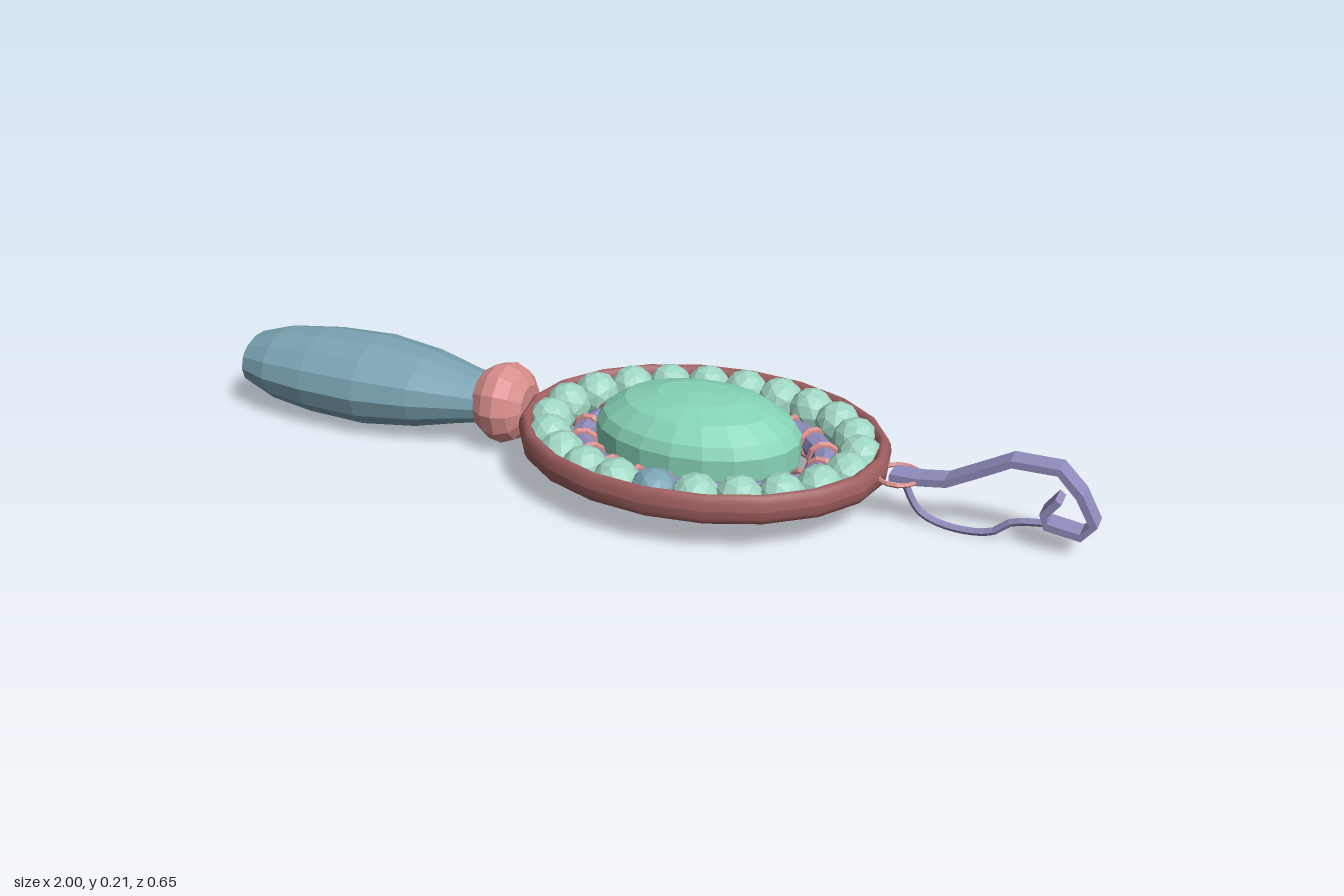
import * as THREE from 'three';

const MID = 0.105; // height of the pendant's middle plane
const CX = 0.15; // centre of the oval setting

const mat = (color, flatShading = true) => new THREE.MeshStandardMaterial({ color, flatShading });
const teal = mat(0x7aa3b2), salmon = mat(0xd98f8b), rimRed = mat(0xa05f60, false);
const mint = mat(0xa0d6c4), green = mat(0x86d4b6), purple = mat(0x918dbd);

function add(parent, name, geometry, material, x = 0, y = 0, z = 0) {
  const mesh = new THREE.Mesh(geometry, material);
  mesh.name = name;
  mesh.position.set(x, y, z);
  parent.add(mesh);
  return mesh;
}

const v2 = (pts) => pts.map(([a, b]) => new THREE.Vector2(a, b));

// Body turned around the x axis from [x, radius] pairs, stretched in z
function turnedAlongX(profile, sides, zScale) {
  const g = new THREE.LatheGeometry(v2(profile.map(([x, r]) => [r, x])), sides);
  return g.rotateZ(-Math.PI / 2).scale(1, 1, zScale);
}

// Closed oval in the horizontal plane
function oval(rx, rz, n = 40) {
  const pts = new THREE.EllipseCurve(0, 0, rx, rz).getSpacedPoints(n).slice(0, n);
  return new THREE.CatmullRomCurve3(pts.map((p) => new THREE.Vector3(p.x, 0, p.y)), true);
}

// Flat strip following a path in the xy plane
function strip(pts, thickness, width) {
  const p = v2(pts);
  const left = [], right = [];
  p.forEach((q, i) => {
    const a = p[Math.max(i - 1, 0)], b = p[Math.min(i + 1, p.length - 1)];
    const d = b.clone().sub(a).normalize().multiplyScalar(thickness / 2);
    left.push(new THREE.Vector2(q.x - d.y, q.y + d.x));
    right.unshift(new THREE.Vector2(q.x + d.y, q.y - d.x));
  });
  const g = new THREE.ExtrudeGeometry(new THREE.Shape([...left, ...right]), { depth: width, bevelEnabled: false });
  return g.translate(0, 0, -width / 2);
}

export function createModel() {
  const model = new THREE.Group();
  model.name = 'earring';

  // Long drop and the collar bead joining it to the setting
  add(model, 'drop', turnedAlongX([
    [-1, 0], [-1, 0.03], [-0.975, 0.06], [-0.9, 0.083], [-0.79, 0.096], [-0.65, 0.1],
    [-0.52, 0.085], [-0.42, 0.062], [-0.36, 0.05], [-0.36, 0],
  ], 14, 1.34), teal, 0, MID);
  add(model, 'collarBead', turnedAlongX([
    [-0.375, 0], [-0.375, 0.067], [-0.345, 0.087], [-0.315, 0.092], [-0.285, 0.08], [-0.262, 0.05], [-0.262, 0],
  ], 12, 1), salmon, 0, MID);

  const setting = new THREE.Group();
  setting.name = 'setting';
  setting.position.set(CX, MID, 0);
  model.add(setting);

  // Outer rim: rounded band swept round the oval
  const section = [];
  for (let i = 0; i <= 12; i++) {
    const a = (i / 12) * Math.PI * 2;
    section.push([0.958 + 0.042 * Math.cos(a), 0.033 * Math.sin(a)]);
  }
  add(setting, 'rim', new THREE.LatheGeometry(v2(section), 20).scale(0.41, 1, 0.327), rimRed);

  // Ring of round beads, one of them in a different colour
  const bead = new THREE.IcosahedronGeometry(0.051, 1);
  const count = 22;
  const path = oval(0.343, 0.266);
  for (let i = 0; i < count; i++) {
    const p = path.getPointAt((i + 0.5) / count);
    const odd = i === 5;
    add(setting, odd ? 'accentBead' : 'bead', bead, odd ? teal : mint, p.x, p.y, p.z).rotation.y = i * 1.3;
  }

  // Inner ring bound with wire loops
  const inner = oval(0.268, 0.2);
  add(setting, 'innerRing', new THREE.TubeGeometry(inner, 40, 0.029, 8, true), purple, 0, -0.028);
  const loop = new THREE.TorusGeometry(0.029, 0.009, 6, 10);
  for (let i = 0; i < 20; i++) {
    const p = inner.getPointAt(i / 20);
    const t = inner.getTangentAt(i / 20);
    add(setting, 'wireLoop', loop, salmon, p.x, -0.028, p.z).rotation.y = Math.atan2(t.x, t.z);
  }

  // Domed stone with a flat back
  add(setting, 'stone', new THREE.LatheGeometry(v2([
    [0, -0.047], [0.98, -0.047], [1, -0.02], [1, 0.028], [0.93, 0.053], [0.72, 0.085], [0.4, 0.104], [0, 0.11],
  ]), 20).scale(0.228, 1, 0.162), green, -0.01);

  // Jump ring
  add(model, 'jumpRing', new THREE.TorusGeometry(0.045, 0.005, 6, 14).rotateX(Math.PI / 2).scale(1, 1, 1.1),
    salmon, 0.585, MID);

  // Clasp: broad band with a curled end, and a thin wire below it
  add(model, 'claspBand', strip([
    [0.57, 0.107], [0.63, 0.108], [0.687, 0.116], [0.75, 0.15], [0.815, 0.186], [0.91, 0.186],
    [0.955, 0.14], [0.988, 0.08], [0.965, 0.052], [0.895, 0.062], [0.888, 0.085], [0.915, 0.122],
  ], 0.016, 0.05), purple);
  const wire = [[0.598, 0.105], [0.607, 0.08], [0.637, 0.034], [0.7, 0.013], [0.785, 0.02], [0.825, 0.05], [0.9, 0.064]];
  add(model, 'claspWire', new THREE.TubeGeometry(
    new THREE.CatmullRomCurve3(wire.map(([x, y]) => new THREE.Vector3(x, y, 0.008))), 18, 0.008, 6), purple);

  return model;
}
